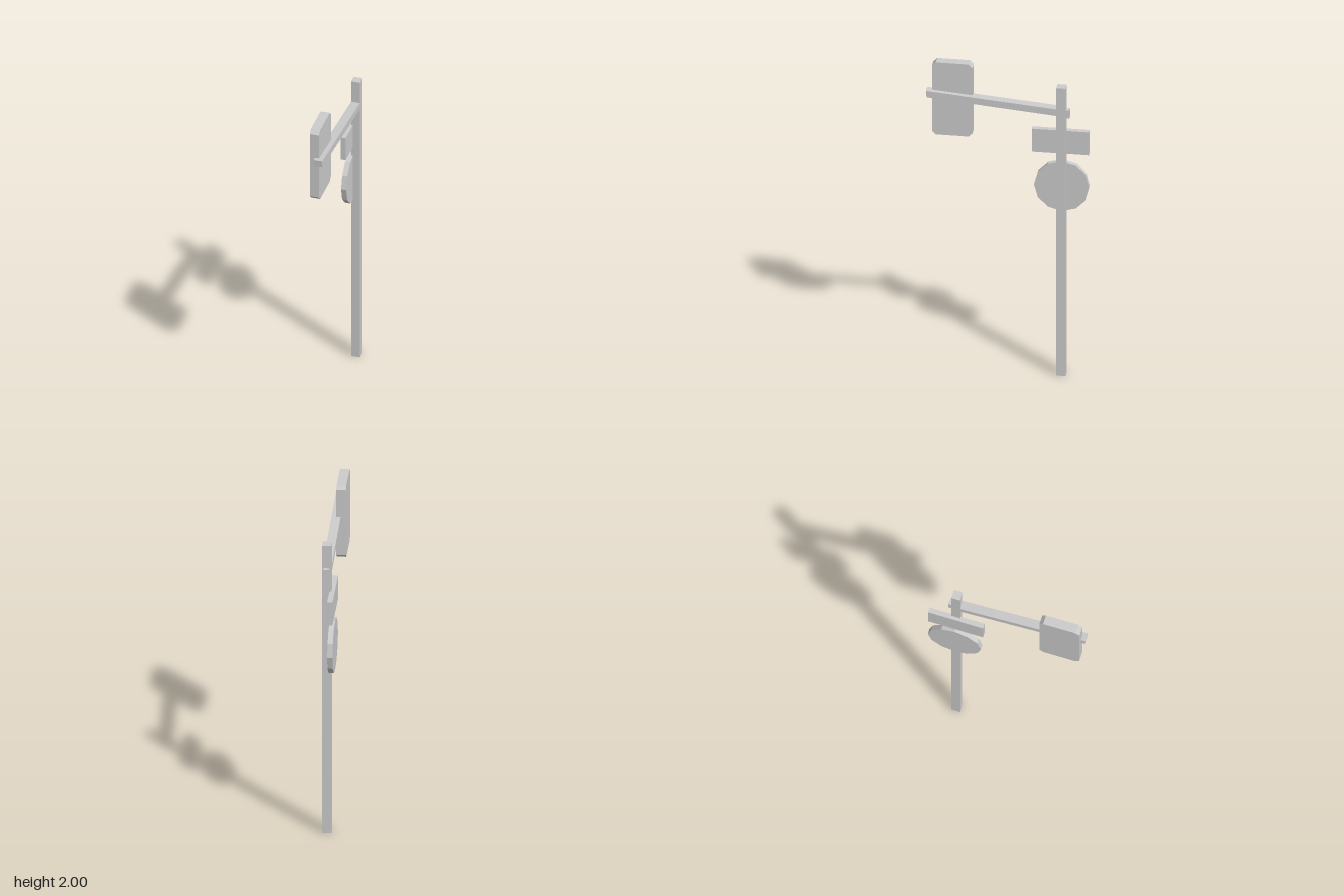
import * as THREE from 'three';

const mat = new THREE.MeshStandardMaterial({ color: 0xcccccc, flatShading: true });

export function createModel() {
  const group = new THREE.Group();
  const add = (name, geometry) => {
    const mesh = new THREE.Mesh(geometry, mat);
    mesh.name = name;
    group.add(mesh);
    return mesh;
  };
  // Box given by its limits along each axis
  const box = (name, x0, x1, y0, y1, z0, z1) => {
    const mesh = add(name, new THREE.BoxGeometry(x1 - x0, y1 - y0, z1 - z0));
    mesh.position.set((x0 + x1) / 2, (y0 + y1) / 2, (z0 + z1) / 2);
    return mesh;
  };
  // Outline of [z, y] points extruded from x0 to x1
  const slab = (name, points, x0, x1) => {
    const shape = new THREE.Shape(points.map(([z, y]) => new THREE.Vector2(-z, y)));
    const geometry = new THREE.ExtrudeGeometry(shape, { depth: x1 - x0, bevelEnabled: false });
    geometry.rotateY(Math.PI / 2).translate(x0, 0, 0);
    return add(name, geometry);
  };

  // Square upright and the arm's bracket behind it
  box('pole', -0.012, 0.041, 0, 1.897, -0.341, -0.287);
  box('armBracket', -0.002, 0.033, 1.697, 1.75, -0.363, -0.33);

  // Arm rising towards the front
  slab('arm', [[-0.3, 1.713], [0.477, 1.78], [0.48, 1.822], [-0.3, 1.756]], -0.012, 0.041);

  // Hanging panel with clipped corners
  const [z0, z1, y0, y1, c] = [0.207, 0.449, 1.525, 2, 0.023];
  slab('hangingPanel', [
    [z0 + c, y0], [z1 - c, y0], [z1, y0 + c], [z1, y1 - c],
    [z1 - c, y1], [z0 + c, y1], [z0, y1 - c], [z0, y0 + c],
  ], -0.043, 0.013);

  // Small plate and round plate on the pole's side
  box('smallPlate', -0.032, -0.001, 1.446, 1.597, -0.476, -0.138);
  const disc = add('roundPlate', new THREE.CylinderGeometry(0.163, 0.163, 0.031, 12));
  disc.rotation.z = Math.PI / 2;
  disc.position.set(-0.0165, 1.23, -0.314);

  return group;
}
